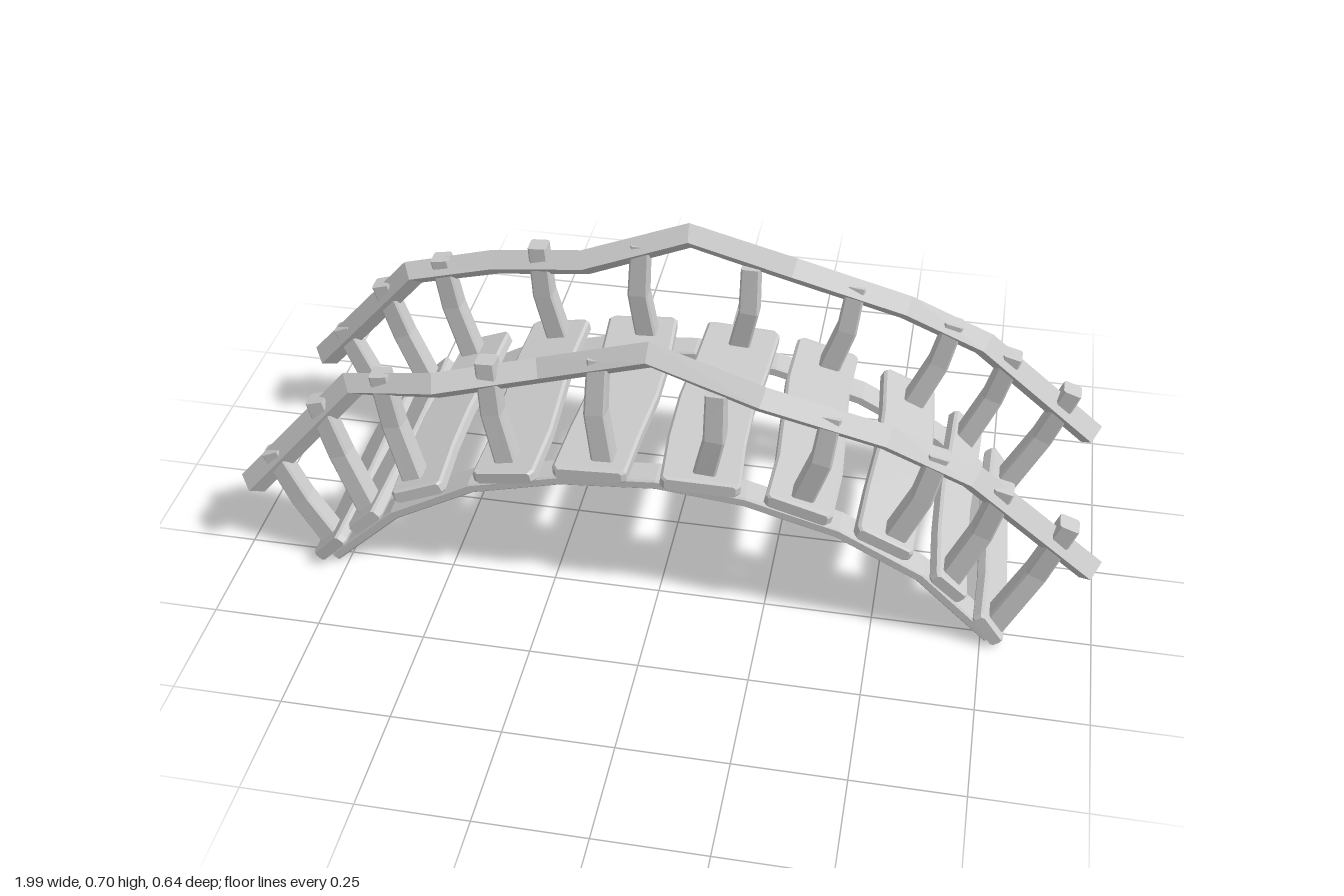
import * as THREE from 'three';

const material = new THREE.MeshStandardMaterial({ color: 0xcccccc, flatShading: true });
const V = (x, y, z) => new THREE.Vector3(x, y, z);

// Sweeps a section of [side, normal] points along a path; scale(i) can taper it.
function sweep(name, path, section, side, scale = () => 1) {
  const last = path.length - 1, n = section.length, pos = [];
  const rings = path.map((p, i) => {
    const T = path[Math.min(i + 1, last)].clone().sub(path[Math.max(i - 1, 0)]).normalize();
    const N = T.clone().cross(side).normalize();
    const S = N.clone().cross(T);
    return section.map(([a, b]) => p.clone().addScaledVector(S, a * scale(i)).addScaledVector(N, b * scale(i)));
  });
  const tri = (...c) => c.forEach(v => pos.push(v.x, v.y, v.z));
  for (let i = 0; i < last; i++) {
    for (let j = 0; j < n; j++) {
      const k = (j + 1) % n, a = rings[i], b = rings[i + 1];
      tri(a[j], a[k], b[k]);
      tri(a[j], b[k], b[j]);
    }
  }
  for (let j = 1; j < n - 1; j++) {
    tri(rings[last][0], rings[last][j], rings[last][j + 1]);
    tri(rings[0][0], rings[0][j + 1], rings[0][j]);
  }
  const geometry = new THREE.BufferGeometry();
  geometry.setAttribute('position', new THREE.Float32BufferAttribute(pos, 3));
  geometry.computeVertexNormals();
  const mesh = new THREE.Mesh(geometry, material);
  mesh.name = name;
  return mesh;
}

// Rectangle with cut corners, counter-clockwise.
function chamfered(w, h, c) {
  const x = w / 2, y = h / 2;
  return [[x, -y + c], [x, y - c], [x - c, y], [-x + c, y], [-x, y - c], [-x, -y + c], [-x + c, -y], [x - c, -y]];
}

// Small repeatable variation in -1..1
const vary = k => Math.sin(k * 12.9898 + 1.3);

export function createModel() {
  const bridge = new THREE.Group();
  bridge.name = 'bridge';
  const zAxis = V(0, 0, 1);

  // Arched beams under the deck
  const arch = [[-0.78, 0.018], [-0.62, 0.172], [-0.43, 0.28], [-0.22, 0.335], [0, 0.355],
    [0.2, 0.335], [0.41, 0.277], [0.6, 0.177], [0.768, 0.018]];
  for (const z of [0.255, -0.243]) {
    bridge.add(sweep('archBeam', arch.map(([x, y]) => V(x, y, z)), chamfered(0.068, 0.025, 0.004), zAxis));
  }

  // Deck planks: centre x, centre y, width, tilt
  const planks = [
    [-0.785, 0.058, 0.105, 0.82], [-0.68, 0.163, 0.1, 0.76], [-0.553, 0.264, 0.13, 0.36],
    [-0.347, 0.338, 0.15, 0.21], [-0.138, 0.373, 0.17, 0.05], [0.098, 0.373, 0.18, -0.06],
    [0.318, 0.338, 0.155, -0.22], [0.522, 0.264, 0.14, -0.43], [0.662, 0.165, 0.1, -0.76],
    [0.762, 0.052, 0.09, -0.92]];
  planks.forEach(([x, y, w, tilt], i) => {
    const side = V(Math.cos(tilt), Math.sin(tilt), 0);
    const zs = [-0.314, -0.304, -0.15, 0, 0.15, 0.294, 0.304];
    const path = zs.map((z, j) => {
      const bend = 0.009 * Math.sin(z * 9 + i * 2.1);
      return V(x, y, z + 0.007 * vary(i)).addScaledVector(side, bend);
    });
    const ends = j => (j === 0 || j === zs.length - 1 ? 0.88 : 1);
    bridge.add(sweep('deckPlank', path, chamfered(w, 0.032, 0.006), side, ends));
  });

  // Hand rails: shared arch, each with its own sideways wander, diamond section
  const railArch = [[-0.974, 0.19], [-0.71, 0.487], [-0.5, 0.54], [-0.27, 0.58], [-0.02, 0.667],
    [0.23, 0.612], [0.5, 0.52], [0.69, 0.45], [0.97, 0.218]];
  const railZ = {
    left: [0.255, 0.215, 0.255, 0.21, 0.228, 0.27, 0.235, 0.248, 0.238],
    right: [-0.27, -0.255, -0.258, -0.235, -0.262, -0.243, -0.272, -0.256, -0.256],
  };
  const d = 0.034;
  const diamond = [[d, 0], [0, d], [-d, 0], [0, -d]];

  // Posts: foot x, foot y, top x, top y
  const posts = [
    [-0.775, 0.03, -0.915, 0.295], [-0.685, 0.15, -0.795, 0.445], [-0.57, 0.265, -0.635, 0.54],
    [-0.345, 0.34, -0.385, 0.61], [-0.122, 0.375, -0.135, 0.64], [0.105, 0.375, 0.13, 0.605],
    [0.325, 0.34, 0.38, 0.58], [0.535, 0.265, 0.615, 0.5], [0.665, 0.165, 0.76, 0.43],
    [0.775, 0.04, 0.91, 0.345]];

  for (const [name, zs] of Object.entries(railZ)) {
    const rail = railArch.map(([x, y], i) => V(x, y, zs[i]));
    bridge.add(sweep(name + 'HandRail', rail, diamond, zAxis));

    const sign = Math.sign(zs[0]);
    posts.forEach(([x0, y0, x1, y1], i) => {
      // Rail's z where the post meets it
      const s = Math.max(1, rail.findIndex(p => p.x > x1));
      const a = rail[s - 1], b = rail[s];
      const zTop = a.z + (b.z - a.z) * (x1 - a.x) / (b.x - a.x);
      const k = i * 2 + (sign > 0 ? 0 : 1);
      const foot = V(x0, y0, sign * 0.25 + 0.004 * vary(k));
      const top = V(x1, y1, zTop);
      const middle = foot.clone().lerp(top, 0.5);
      middle.x += 0.012 * Math.sign(x0);
      middle.z += 0.01 * vary(k + 5);
      bridge.add(sweep(name + 'Post', [foot, middle, top], chamfered(0.05, 0.052, 0.005), zAxis,
        j => [1, 0.95, 0.88][j]));
    });
  }
  return bridge;
}
